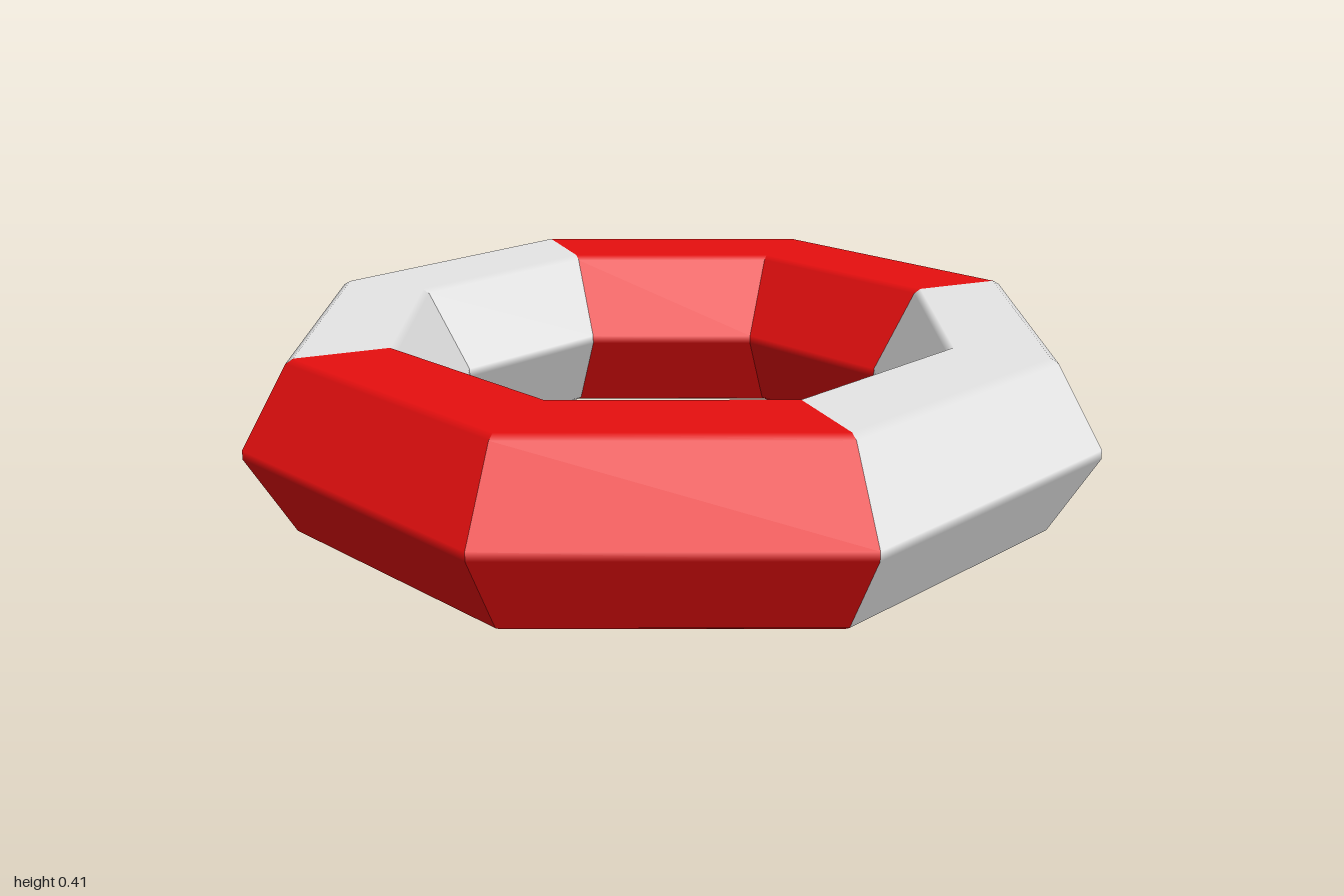
import * as THREE from 'three';

const SIDES = 8;           // straight lengths around the ring
const RING = 0.772;        // radius of the tube centre at a corner
const TUBE = 0.234;        // hexagon radius of the tube
const HALF = TUBE * Math.sin(Math.PI / 3);
const BEVEL = 0.05;        // fraction of each hexagon edge cut at a corner

// Hexagonal section with narrow bevels: each point carries the normal of its flat face
function tubeProfile() {
  const corner = (i) => new THREE.Vector2(
    Math.cos(i * Math.PI / 3) * TUBE, Math.sin(i * Math.PI / 3) * TUBE);
  const points = [];
  for (let i = 0; i < 6; i++) {
    const a = corner(i), b = corner(i + 1), mid = (i + 0.5) * Math.PI / 3;
    const normal = new THREE.Vector2(Math.cos(mid), Math.sin(mid));
    for (const t of [BEVEL, 1 - BEVEL]) points.push({ p: a.clone().lerp(b, t), normal });
  }
  return points;
}

// Mitred straight lengths between ring corners "first" and "first + count"
function bandGeometry(first, count) {
  const profile = tubeProfile(), n = profile.length;
  const step = 2 * Math.PI / SIDES, squash = Math.cos(step / 2);
  const positions = [], normals = [], index = [];
  for (let s = first; s < first + count; s++) {
    const base = positions.length / 3, mid = (s + 0.5) * step;
    for (const angle of [s * step, (s + 1) * step]) {
      for (const { p, normal } of profile) {
        const r = RING + p.x;
        positions.push(r * Math.cos(angle), HALF + p.y, r * Math.sin(angle));
        const v = new THREE.Vector3(
          normal.x * Math.cos(mid), normal.y * squash, normal.x * Math.sin(mid)).normalize();
        normals.push(v.x, v.y, v.z);
      }
    }
    for (let i = 0; i < n; i++) {
      const a = base + i, b = base + (i + 1) % n;
      index.push(a, b, b + n, a, b + n, a + n);
    }
  }
  const geometry = new THREE.BufferGeometry();
  geometry.setAttribute('position', new THREE.Float32BufferAttribute(positions, 3));
  geometry.setAttribute('normal', new THREE.Float32BufferAttribute(normals, 3));
  geometry.setIndex(index);
  return geometry;
}

export function createModel() {
  const red = new THREE.MeshStandardMaterial({ color: 0xe80f0f });
  red.name = 'red';
  const white = new THREE.MeshStandardMaterial({ color: 0xe6e6e6 });
  white.name = 'white';

  const ring = new THREE.Group();
  ring.name = 'lifeRing';

  // Four quarter bands, alternating in colour
  const names = ['frontBand', 'rightBand', 'backBand', 'leftBand'];
  names.forEach((name, i) => {
    const band = new THREE.Mesh(bandGeometry(1 + i * 2, 2), i % 2 ? white : red);
    band.name = name;
    ring.add(band);
  });
  return ring;
}
